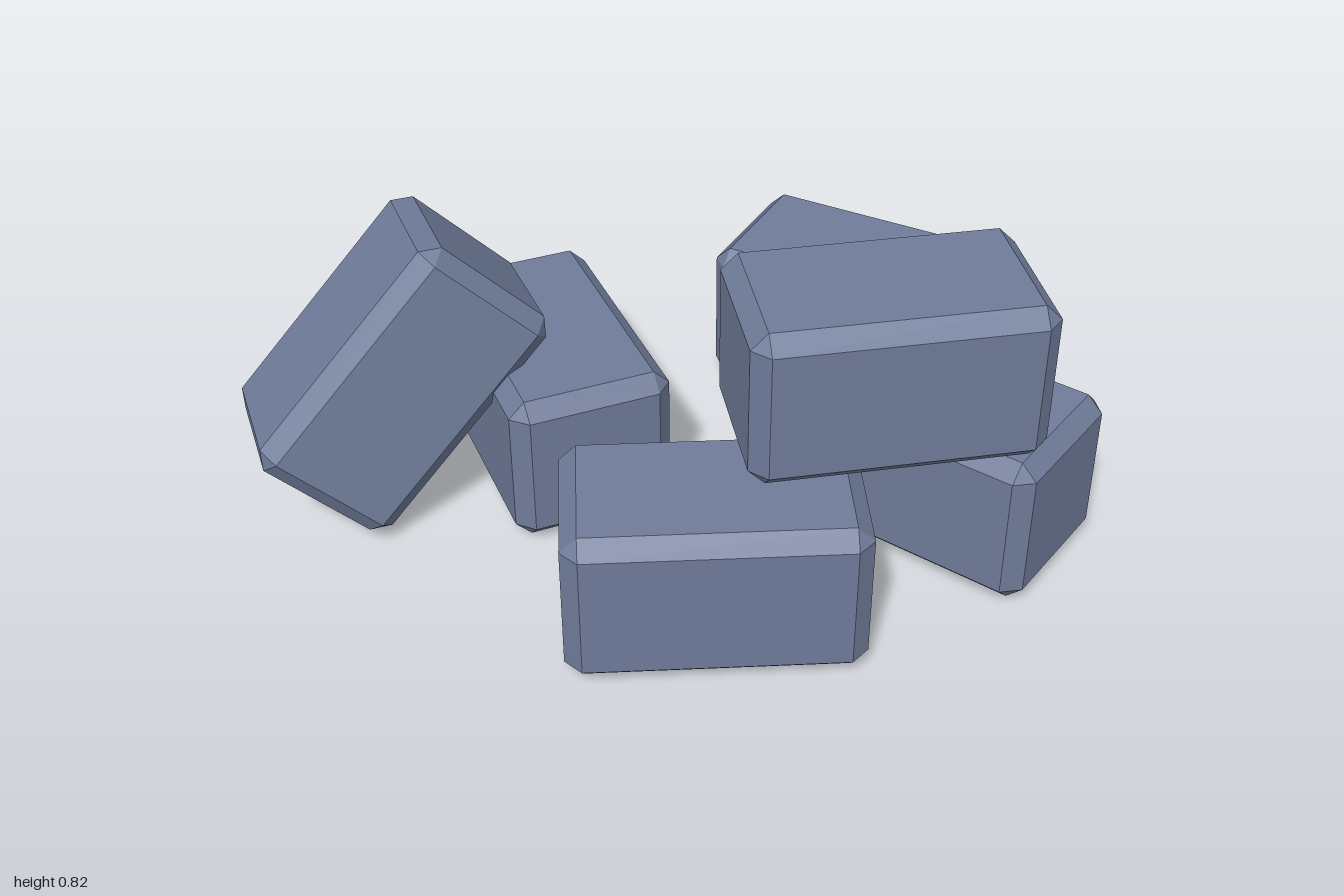
import * as THREE from 'three';
import { ConvexGeometry } from 'three/addons/geometries/ConvexGeometry.js';

// Box with every edge and corner cut flat by c
function chamferedBox(length, height, width, c) {
  const [x, y, z] = [length / 2, height / 2, width / 2];
  const points = [];
  for (const sx of [-1, 1]) for (const sy of [-1, 1]) for (const sz of [-1, 1]) {
    points.push(
      new THREE.Vector3(sx * x, sy * (y - c), sz * (z - c)),
      new THREE.Vector3(sx * (x - c), sy * y, sz * (z - c)),
      new THREE.Vector3(sx * (x - c), sy * (y - c), sz * z)
    );
  }
  return new ConvexGeometry(points);
}

export function createModel() {
  const group = new THREE.Group();
  group.name = 'brickPile';
  const material = new THREE.MeshStandardMaterial({ color: 0x6f7b99, flatShading: true });
  const geometry = chamferedBox(0.69, 0.4, 0.41, 0.04);

  // name, position, rotation
  const bricks = [
    ['frontLeftBrick', [0.51, 0.21, 0.305], [0, -1.103, 0]],
    ['frontRightBrick', [-0.162, 0.21, 0.408], [0, -0.41, 0]],
    ['sideBrick', [0.655, 0.21, -0.32], [0, -0.958, 0]],
    ['backBrick', [-0.23, 0.21, -0.365], [0, 1.497, 0]],
    ['topBrick', [0.278, 0.62, 0.393], [0, -0.289, 0]],
    ['leaningBrick', [-0.629, 0.377, -0.417], [-0.12, -0.128, 0.777]],
  ];
  for (const [name, position, rotation] of bricks) {
    const brick = new THREE.Mesh(geometry, material);
    brick.name = name;
    brick.position.set(...position);
    brick.rotation.set(...rotation);
    group.add(brick);
  }
  return group;
}
